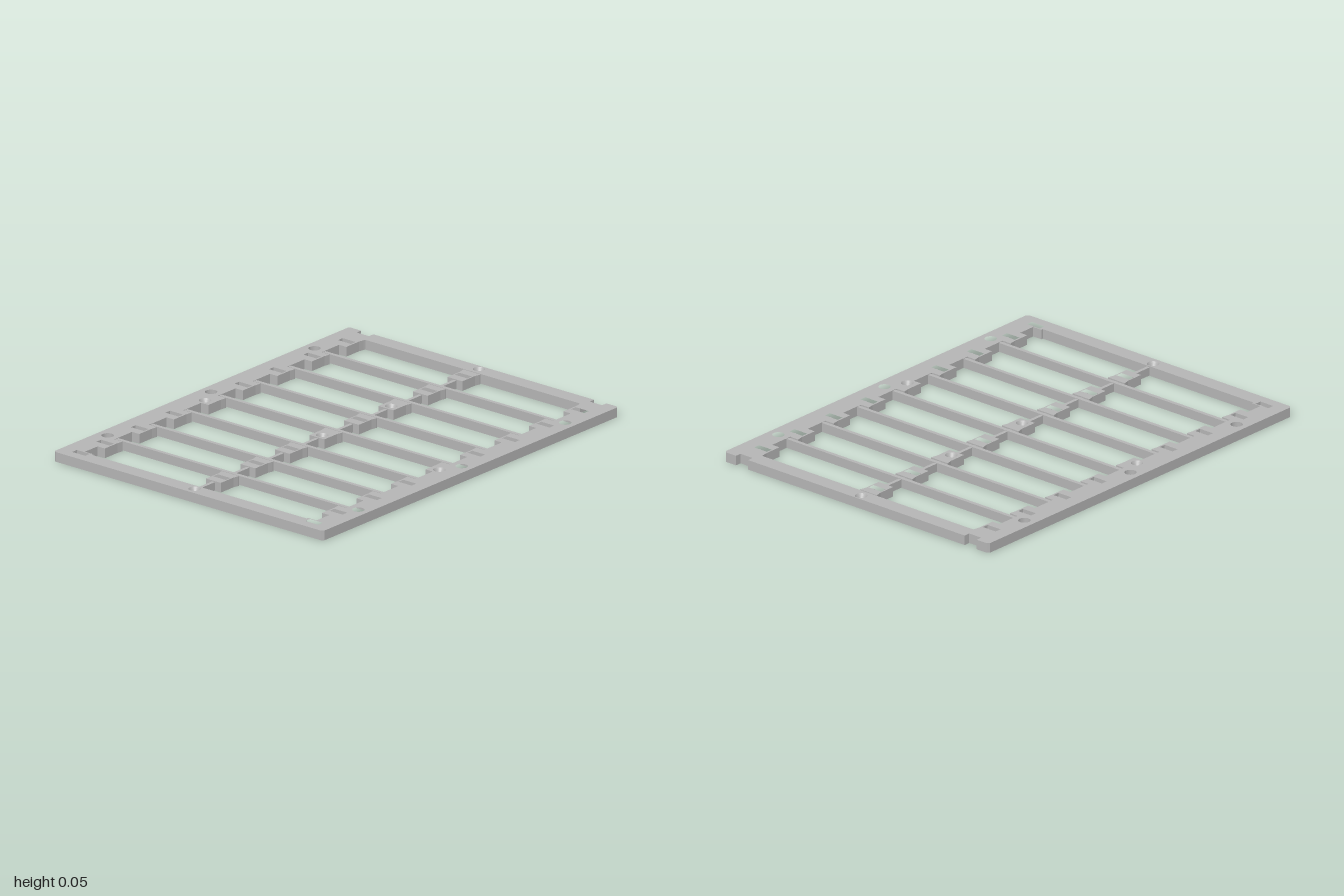
import * as THREE from 'three';

const H = 0.045, PITCH = 0.2335, N = 8;
const TAB0 = -0.92, TAB_LEN = 0.115;
const tabZ = (k) => TAB0 + PITCH * k;

export function createModel() {
  const group = new THREE.Group();
  const grey = new THREE.MeshStandardMaterial({ color: 0xb4b4b4 });
  grey.name = 'grey';

  const add = (name, geometry) => {
    const mesh = new THREE.Mesh(geometry, grey);
    mesh.name = name;
    group.add(mesh);
  };
  const box = (name, x0, x1, y0, y1, z0, z1) => {
    const g = new THREE.BoxGeometry(x1 - x0, y1 - y0, z1 - z0);
    g.translate((x0 + x1) / 2, (y0 + y1) / 2, (z0 + z1) / 2);
    add(name, g);
  };

  // Plan drawn as [x, z] points, raised to the full thickness
  const toVec = ([x, z]) => new THREE.Vector2(x, -z);
  const plate = (name, outline, holes) => {
    const shape = new THREE.Shape(outline.map(toVec));
    for (const h of holes) shape.holes.push(new THREE.Path(h.map(toVec)));
    const g = new THREE.ExtrudeGeometry(shape, { depth: H, bevelEnabled: false });
    add(name, g.rotateX(-Math.PI / 2));
  };
  const circle = (cx, cz, r) => Array.from({ length: 32 }, (_, i) => {
    const a = (i / 32) * Math.PI * 2;
    return [cx + r * Math.cos(a), cz + r * Math.sin(a)];
  });
  const rect = (cx, cz, w, d) =>
    [[cx - w, cz - d], [cx + w, cz - d], [cx + w, cz + d], [cx - w, cz + d]];

  // Countersunk screw seat: returns its hole and adds the conical lining
  const screw = (cx, cz) => {
    const pts = [[0.027, 0], [0.013, 0], [0.013, 0.02], [0.027, H]]
      .map(([r, y]) => new THREE.Vector2(r, y));
    const lining = new THREE.LatheGeometry(pts.reverse(), 32).toNonIndexed();
    lining.computeVertexNormals();
    // Reverse the corner order so the lining faces the screw axis
    const p = lining.attributes.position;
    const a = new THREE.Vector3(), b = new THREE.Vector3(), c = new THREE.Vector3();
    a.fromBufferAttribute(p, 0); b.fromBufferAttribute(p, 1); c.fromBufferAttribute(p, 2);
    const n = b.clone().sub(a).cross(c.clone().sub(a));
    if (n.x * (a.x + b.x + c.x) + n.z * (a.z + b.z + c.z) > 0) {
      for (let i = 0; i < p.count; i += 3) {
        b.fromBufferAttribute(p, i + 1); c.fromBufferAttribute(p, i + 2);
        p.setXYZ(i + 1, c.x, c.y, c.z); p.setXYZ(i + 2, b.x, b.y, b.z);
      }
      lining.computeVertexNormals();
    }
    add('screwSeat', lining.translate(cx, 0, cz));
    return circle(cx, cz, 0.027);
  };

  // Clip slot with a ledge at each end
  const slot = (cx, cz, w = 0.037) => {
    for (const s of [-1, 1]) {
      const x0 = cx + s * w, x1 = cx + s * 0.028;
      box('slotLedge', Math.min(x0, x1), Math.max(x0, x1), 0, 0.028, cz - 0.016, cz + 0.016);
    }
    return rect(cx, cz, w, 0.016);
  };

  // Side rails with inward tabs, slots and mounting holes
  for (const s of [-1, 1]) {
    const outline = [[0.765, 0.99], [0.755, 1], [0.61, 1], [0.61, 0.915], [0.658, 0.915]];
    for (let k = N - 1; k >= 0; k--) {
      const z0 = tabZ(k), z1 = z0 + TAB_LEN;
      outline.push([0.658, z1], [0.617, z1], [0.617, z0 + 0.03], [0.613, z0 + 0.005]);
      if (k > 0) outline.push([0.613, z0], [0.658, z0]);
    }
    outline.push([0.61, -0.925], [0.61, -1], [0.627, -1], [0.627, -0.97],
      [0.697, -0.97], [0.697, -1], [0.755, -1], [0.765, -0.99]);
    const holes = [-0.703, -0.003, 0.697].map((z) => circle(s * 0.712, z, 0.027));
    for (let k = 0; k < N; k++) {
      holes.push(k === 4 ? screw(s * 0.665, 0.093) : slot(s * 0.662, tabZ(k) + 0.058));
    }
    holes.push(slot(s * 0.662, 0.937));
    plate(s > 0 ? 'leftRail' : 'rightRail', outline.map(([x, z]) => [s * x, z]), holes);
  }

  // End beams
  plate('backBeam', [[-0.61, -1], [0.61, -1], [0.61, -0.925], [-0.61, -0.925]],
    [screw(0, -0.968)]);
  plate('frontBeam', [[-0.61, 0.925], [0.61, 0.925], [0.61, 1], [-0.61, 1]],
    [screw(0, 0.957)]);

  // Centre tabs, spine pieces and cross bars
  for (let k = 0; k < N; k++) {
    const z0 = tabZ(k), z1 = z0 + TAB_LEN;
    const half = [[0.048, z0], [0.048, z0 + 0.005], [0.042, z0 + 0.03], [0.042, z1]];
    const outline = [...half, ...half.map(([x, z]) => [-x, z]).reverse()];
    let hole;
    if (k === 2) hole = screw(0, -0.374);
    else if (k === 4) hole = screw(0, 0.093);
    else hole = slot(0, z0 + 0.058, 0.036);
    plate('centreTab', outline, [hole]);

    box('spine', -0.008, 0.008, 0.002, 0.04, z1, k < N - 1 ? tabZ(k + 1) : 0.925);
    if (k < N - 1) {
      const z = -0.703 + PITCH * k;
      box('crossBar', -0.66, 0.66, 0.001, 0.043, z - 0.009, z + 0.009);
    }
  }
  box('spine', -0.008, 0.008, 0.002, 0.04, -0.925, TAB0);

  return group;
}
